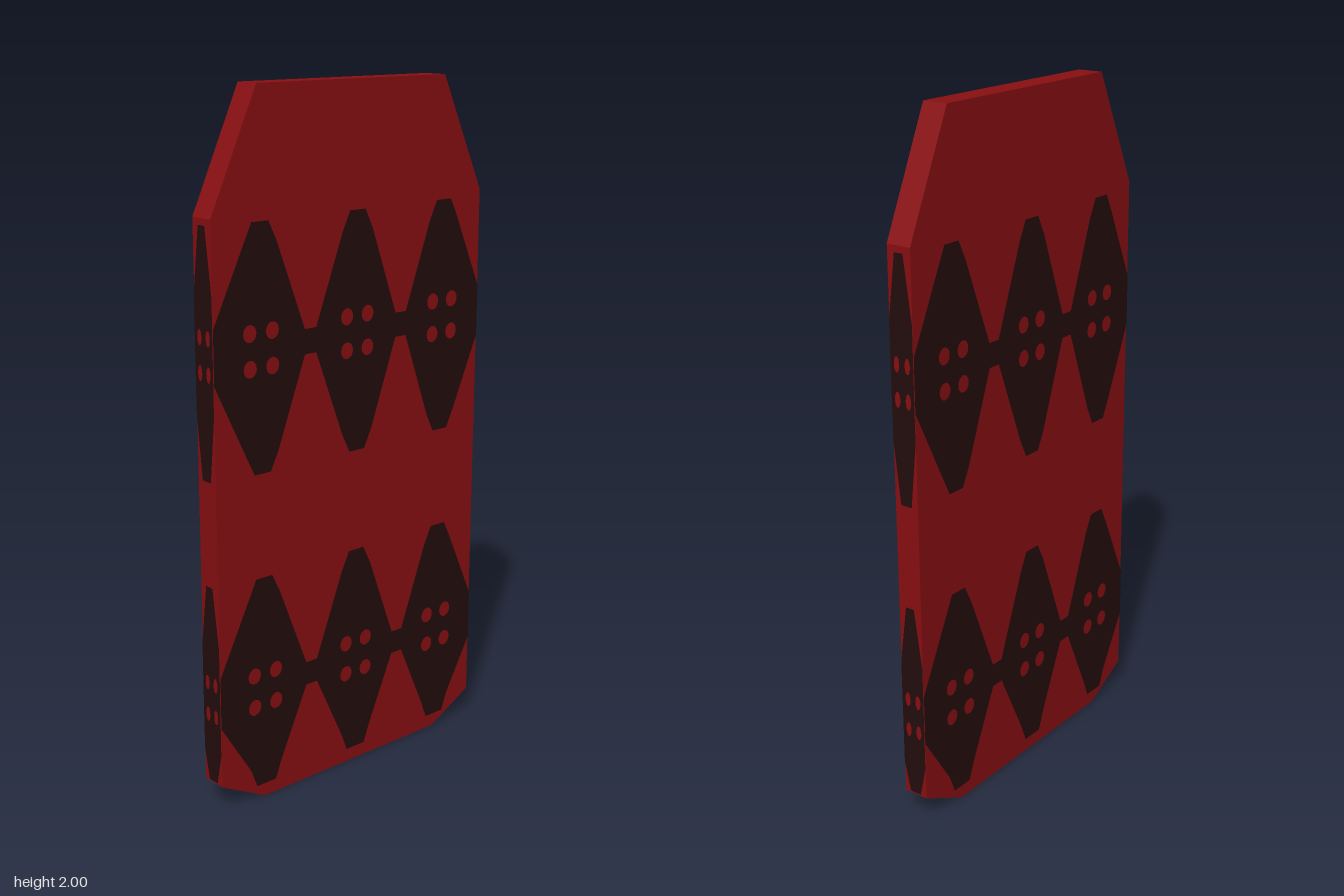
import * as THREE from 'three';

const HALF_W = 0.487, THICK = 0.076, LIFT = 0.0015;

// Two pattern rows: centre height, tip distance above and below, tip half-widths
const ROWS = [
  { y: 1.312, up: 0.34, down: 0.342, topTip: 0.028, lowTip: 0.028 },
  { y: 0.335, up: 0.335, down: 0.295, topTip: 0.028, lowTip: 0.034 },
];
const CENTRES = [-0.33, 0.01, 0.34];

const shapeOf = (pts) => new THREE.Shape(pts.map(([x, y]) => new THREE.Vector2(x, y)));

// Four small openings through which the red slab shows
function addDots(shape, cx, cy, dx, rx, ry) {
  for (const sx of [-1, 1]) for (const sy of [-1, 1]) {
    const hole = new THREE.Path();
    hole.absellipse(cx + sx * dx, cy + sy * 0.048, rx, ry, 0, Math.PI * 2, true);
    shape.holes.push(hole);
  }
}

// One edge of the linked diamonds, from left to right
function bandEdge(y, sign, reach, tip) {
  const pts = [[-HALF_W, y + sign * 0.075]];
  CENTRES.forEach((cx, i) => {
    pts.push([cx - 0.055, y + sign * (reach - 0.055)], [cx - tip, y + sign * reach],
      [cx + tip, y + sign * reach], [cx + 0.055, y + sign * (reach - 0.055)]);
    if (i < 2) {
      const mid = (cx + CENTRES[i + 1]) / 2;
      pts.push([mid - 0.02, y + sign * 0.035], [mid + 0.02, y + sign * 0.035]);
    }
  });
  pts.push([HALF_W, y + sign * 0.075]);
  return pts;
}

// Row of three joined diamonds for a broad face
function bandGeometry(row) {
  const shape = shapeOf([
    ...bandEdge(row.y, -1, row.down, row.lowTip),
    ...bandEdge(row.y, 1, row.up, row.topTip).reverse(),
  ]);
  for (const cx of CENTRES) addDots(shape, cx, row.y, 0.038, 0.022, 0.024);
  return new THREE.ShapeGeometry(shape, 8);
}

// Narrow diamond for a side edge
function edgeGeometry(row) {
  const h = THICK / 2, lo = Math.max(row.y - row.down, 0.085);
  const shape = shapeOf([
    [-0.018, lo], [0.018, lo], [h, row.y - 0.16], [h, row.y + 0.16],
    [0.014, row.y + row.up], [-0.014, row.y + row.up], [-h, row.y + 0.16], [-h, row.y - 0.16],
  ]);
  addDots(shape, 0, row.y, 0.018, 0.009, 0.022);
  return new THREE.ShapeGeometry(shape, 8);
}

export function createModel() {
  const red = new THREE.MeshStandardMaterial({ color: 0x890f12 });
  red.name = 'deep red';
  const dark = new THREE.MeshStandardMaterial({ color: 0x240d0d });
  dark.name = 'dark brown';

  const model = new THREE.Group();
  model.name = 'panel';
  const tilted = new THREE.Group();
  tilted.name = 'tiltedPanel';
  tilted.position.y = 1;
  tilted.rotation.x = 0.0045; // slight forward lean
  model.add(tilted);
  const body = new THREE.Group();
  body.name = 'panelParts';
  body.position.y = -1;
  tilted.add(body);

  // Slab with clipped corners
  const outline = shapeOf([
    [-0.335, 0], [0.335, 0], [HALF_W, 0.08], [HALF_W, 1.67],
    [0.335, 2], [-0.335, 2], [-HALF_W, 1.67], [-HALF_W, 0.08],
  ]);
  const slabGeo = new THREE.ExtrudeGeometry(outline, { depth: THICK, bevelEnabled: false });
  slabGeo.translate(0, 0, -THICK / 2);
  const slab = new THREE.Mesh(slabGeo, red);
  slab.name = 'slab';
  body.add(slab);

  // Painted pattern repeated on all four upright faces
  const faces = [
    ['front', 0, THICK / 2, bandGeometry], ['back', Math.PI, THICK / 2, bandGeometry],
    ['left', Math.PI / 2, HALF_W, edgeGeometry], ['right', -Math.PI / 2, HALF_W, edgeGeometry],
  ];
  for (const [name, turn, dist, build] of faces) {
    ROWS.forEach((row, i) => {
      const geo = build(row);
      geo.translate(0, 0, dist + LIFT);
      const mesh = new THREE.Mesh(geo, dark);
      mesh.name = `${name}${i ? 'Lower' : 'Upper'}Diamonds`;
      mesh.rotation.y = turn;
      body.add(mesh);
    });
  }
  return model;
}
